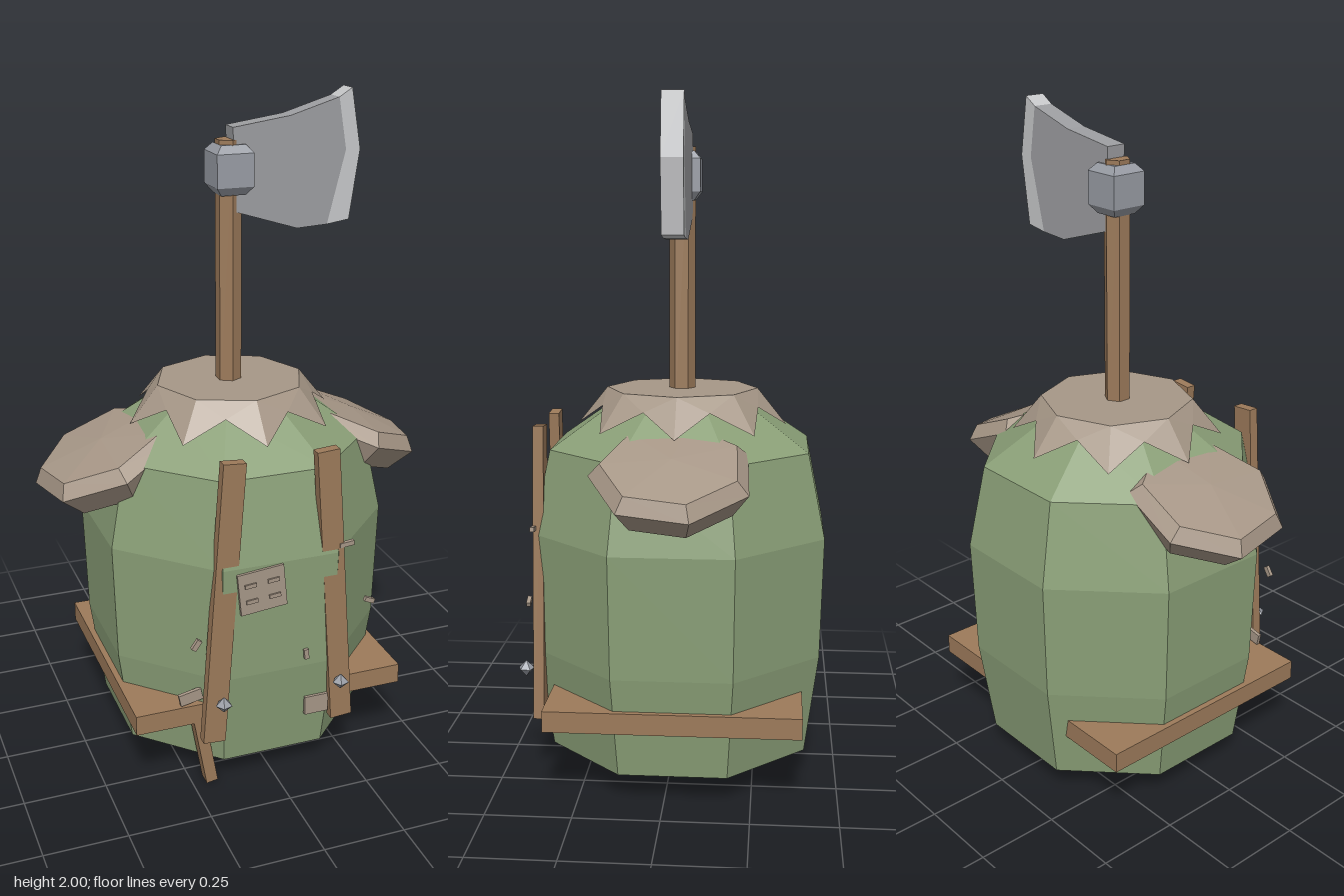
import * as THREE from 'three';

const mat = (name, color, side = THREE.FrontSide) => {
  const m = new THREE.MeshStandardMaterial({ color, flatShading: true, side });
  m.name = name;
  return m;
};

export function createModel() {
  const model = new THREE.Group();
  model.name = 'barrelWithAxe';
  const green = mat('green', 0x8a9f77);
  const wood = mat('wood', 0x9c7a5a);
  const stone = mat('stone', 0xa69686);
  const cloth = mat('cloth', 0xa69787, THREE.DoubleSide);
  const steel = mat('steel', 0x9c9da0);
  const edgeSteel = mat('edgeSteel', 0xc6c7c9);
  const iron = mat('iron', 0x989ca4);
  const CZ = -0.025; // centre line of the barrel

  const add = (name, geo, material, x = 0, y = 0, z = 0, rotZ = 0) => {
    const m = new THREE.Mesh(geo, material);
    m.name = name;
    m.position.set(x, y, z);
    m.rotation.z = rotZ;
    model.add(m);
    return m;
  };
  const box = (name, material, [w, h, d], [x, y, z], rotZ = 0) =>
    add(name, new THREE.BoxGeometry(w, h, d), material, x, y, z, rotZ);
  const lathe = (points, sides, start) =>
    new THREE.LatheGeometry(points.map(([r, y]) => new THREE.Vector2(r, y)), sides, start);

  // Eight-sided barrel, radii given to the flat faces
  const flat = 1 / Math.cos(Math.PI / 8);
  const barrel = [[0, 0.08], [0.38, 0.08], [0.42, 0.38], [0.43, 0.74], [0.38, 0.99], [0.2, 1.12], [0, 1.12]];
  add('barrel', lathe(barrel.map(([r, y]) => [r * flat, y]), 8, Math.PI / 8), green, 0, 0, CZ);

  // Pointed collar: flat top with eight hanging tips
  const ring = (k, r, y) => {
    const a = (k * Math.PI) / 4;
    return [r * Math.sin(a), y, r * Math.cos(a)];
  };
  const verts = [];
  for (let k = 0; k < 8; k++) {
    const t0 = ring(k, 0.227, 1.16), t1 = ring(k + 1, 0.227, 1.16);
    const p0 = ring(k, 0.315, 1.05), p1 = ring(k + 1, 0.315, 1.05);
    const v = ring(k + 0.5, 0.25, 1.115);
    verts.push([0, 1.16, 0], t0, t1, t0, p0, v, t0, v, t1, t1, v, p1);
  }
  const collar = new THREE.BufferGeometry();
  collar.setAttribute('position', new THREE.Float32BufferAttribute(verts.flat(), 3));
  collar.computeVertexNormals();
  add('collar', collar, cloth, 0, 0, CZ);

  // Seven-sided shoulder pads, sloping down outwards
  const pad = [[0, -0.08], [0.185, -0.08], [0.235, 0], [0.2, 0.04], [0, 0.055]];
  for (const s of [1, -1]) {
    add(s > 0 ? 'leftShoulderPad' : 'rightShoulderPad',
      lathe(pad, 7, s * THREE.MathUtils.degToRad(105)), stone, s * 0.385, 0.965, CZ, -s * 0.4);
  }

  // Square board through the barrel, with only sides and corners showing
  box('belt', wood, [0.85, 0.062, 0.74], [0, 0.252, CZ]);

  // Slanted front planks with a nail in each
  for (const s of [1, -1]) {
    box('frontPlank', wood, [0.068, 0.88, 0.032], [s * 0.172, 0.622, 0.387], s * 0.073);
    add('nail', new THREE.SphereGeometry(0.025, 5, 2), iron, s * 0.185, 0.325, 0.432);
  }
  // Loose peg reaching the ground
  box('peg', wood, [0.036, 0.24, 0.045], [-0.212, 0.122, 0.322], 0.17);

  // Stitched patch
  box('patch', cloth, [0.142, 0.13, 0.012], [-0.06, 0.665, 0.407], 0.1);
  for (const x of [-0.035, 0.035]) for (const y of [-0.025, 0.025]) {
    box('stitch', stone, [0.035, 0.012, 0.006], [-0.06 + x - y * 0.1, 0.665 + y + x * 0.1, 0.415], 0.1);
  }

  // Small scraps scattered over the front: x, y, z, width, height, tilt
  const scraps = [
    [-0.257, 0.52, 0.4, 0.016, 0.034, -0.6],
    [0.085, 0.422, 0.4, 0.014, 0.032, 0.1],
    [0.285, 0.565, 0.4, 0.032, 0.014, -0.4],
    [0.205, 0.762, 0.4, 0.045, 0.014, 0.1],
    [0.128, 0.232, 0.382, 0.075, 0.06, 0],
    [-0.255, 0.31, 0.335, 0.07, 0.036, 0.2],
  ];
  for (const [x, y, z, w, h, tilt] of scraps) box('scrap', stone, [w, h, 0.012], [x, y, z], tilt);

  // Axe handle and chamfered socket
  add('axeHandle', new THREE.CylinderGeometry(0.039, 0.039, 0.79, 6), wood, -0.003, 1.475, CZ);
  const q = Math.SQRT2;
  add('axeSocket', lathe([[0, 1.715], [0.037 * q, 1.715], [0.056 * q, 1.74], [0.056 * q, 1.835],
    [0.037 * q, 1.857], [0, 1.857]], 4, Math.PI / 4), iron, 0, 0, CZ);

  // Axe blade and its bright cutting edge
  const plate = (name, points, material) => add(name,
    new THREE.ExtrudeGeometry(new THREE.Shape(points.map(([x, y]) => new THREE.Vector2(x, y))),
      { depth: 0.062, bevelEnabled: false }), material, 0, 0, CZ - 0.031);
  plate('axeBlade', [[0, 1.905], [0.01, 1.665], [0.2, 1.605], [0.295, 1.61], [0.35, 1.825],
    [0.325, 1.975], [0.175, 1.93]], steel);
  plate('axeEdge', [[0.325, 1.975], [0.35, 1.825], [0.295, 1.61], [0.365, 1.62], [0.395, 1.825],
    [0.365, 2]], edgeSteel);

  return model;
}
